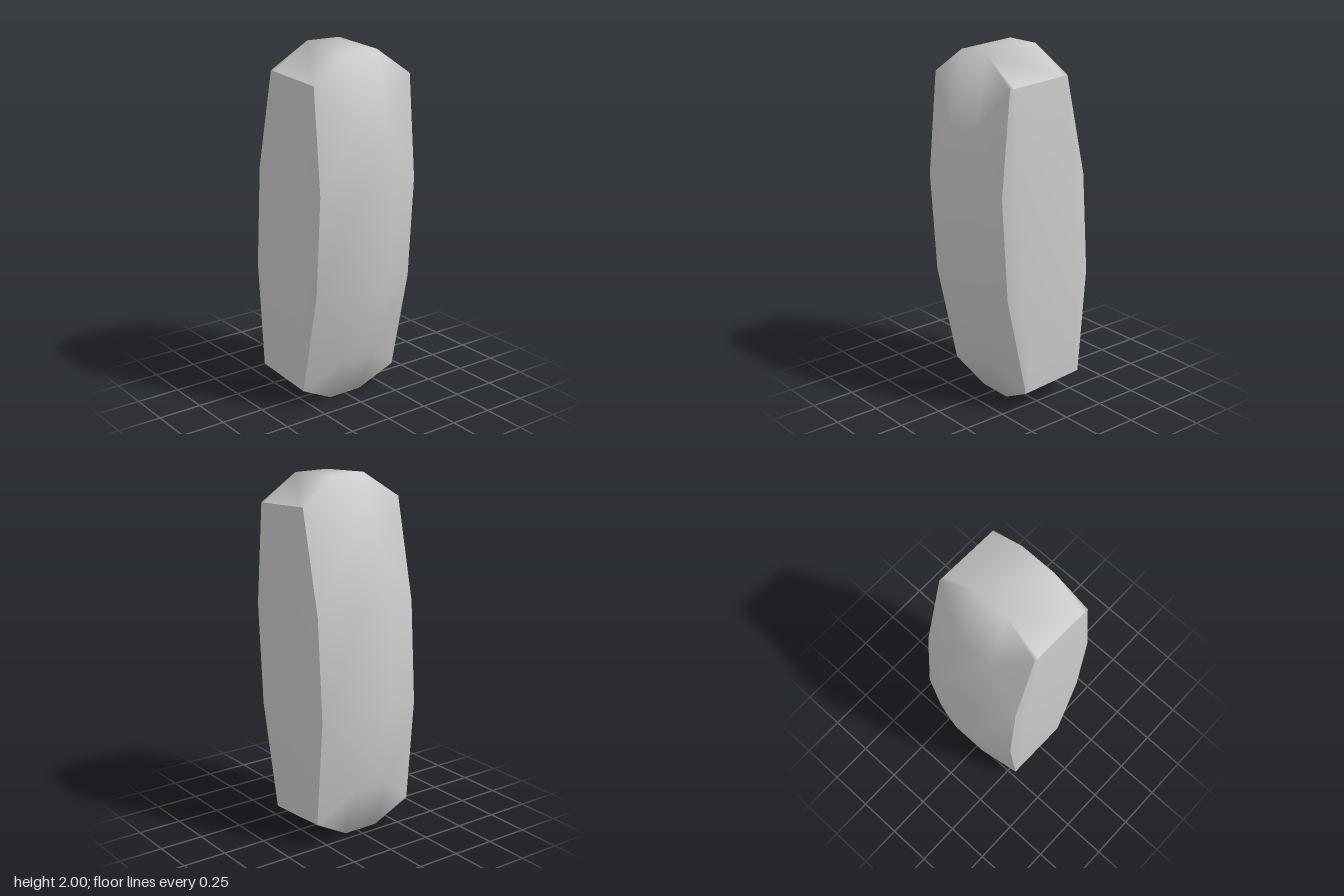
import * as THREE from 'three';
import { mergeVertices } from 'three/addons/utils/BufferGeometryUtils.js';

// Right half of each outline, top to bottom, mirrored into a closed clockwise ring
function ring(half, z) {
  const left = half.map(([x, y]) => [-x, y]).reverse();
  return [...half, ...left].map(([x, y]) => new THREE.Vector3(x, y, z));
}

// Skin neighbouring rings (ordered front to back), splitting quads on the shorter diagonal
function skin(rings) {
  const pos = [];
  const tri = (a, b, c) => {
    if (a.equals(b) || b.equals(c) || a.equals(c)) return;
    for (const p of [a, b, c]) pos.push(p.x, p.y, p.z);
  };
  for (let r = 0; r < rings.length - 1; r++) {
    const A = rings[r], B = rings[r + 1], n = A.length;
    for (let i = 0; i < n; i++) {
      const j = (i + 1) % n;
      if (A[j].distanceTo(B[i]) <= A[i].distanceTo(B[j])) {
        tri(A[i], A[j], B[i]);
        tri(A[j], B[j], B[i]);
      } else {
        tri(A[i], A[j], B[j]);
        tri(A[i], B[j], B[i]);
      }
    }
  }
  let g = new THREE.BufferGeometry();
  g.setAttribute('position', new THREE.Float32BufferAttribute(pos, 3));
  g = mergeVertices(g, 1e-4);
  g.computeVertexNormals();
  return g;
}

export function createModel() {
  const group = new THREE.Group();
  group.name = 'facetedBlock';
  const material = new THREE.MeshStandardMaterial({ color: 0xcccccc });

  const rim = [[0.165, 0.846], [0.193, 0.846], [0.283, 0.285], [0.283, -0.285], [0.193, -0.876], [0.165, -0.876]];
  const belt = [[0.165, 0.99], [0.275, 0.6], [0.367, 0.285], [0.367, -0.285], [0.275, -0.715], [0.165, -0.99]];
  const bulge = rim.map((p, i) => [0.2, i < 3 ? 0.385 : -0.385]);
  const centre = rim.map(() => [0, 0]);

  const add = (name, rings) => {
    const mesh = new THREE.Mesh(skin(rings), material);
    mesh.name = name;
    group.add(mesh);
  };

  // Smooth band over the top, sides and underside
  add('outerBand', [ring(rim, 0.313), ring(belt, 0.104), ring(belt, -0.104), ring(rim, -0.313)]);
  // Slightly bulging end panels, with a hard edge to the band
  add('frontPanel', [ring(centre, 0.338), ring(bulge, 0.338), ring(rim, 0.313)]);
  add('backPanel', [ring(rim, -0.313), ring(bulge, -0.338), ring(centre, -0.338)]);

  // Slight lean towards +x
  group.rotation.z = -0.066;
  group.position.y = 1;
  const root = new THREE.Group();
  root.name = 'leaningBlock';
  root.add(group);
  return root;
}
